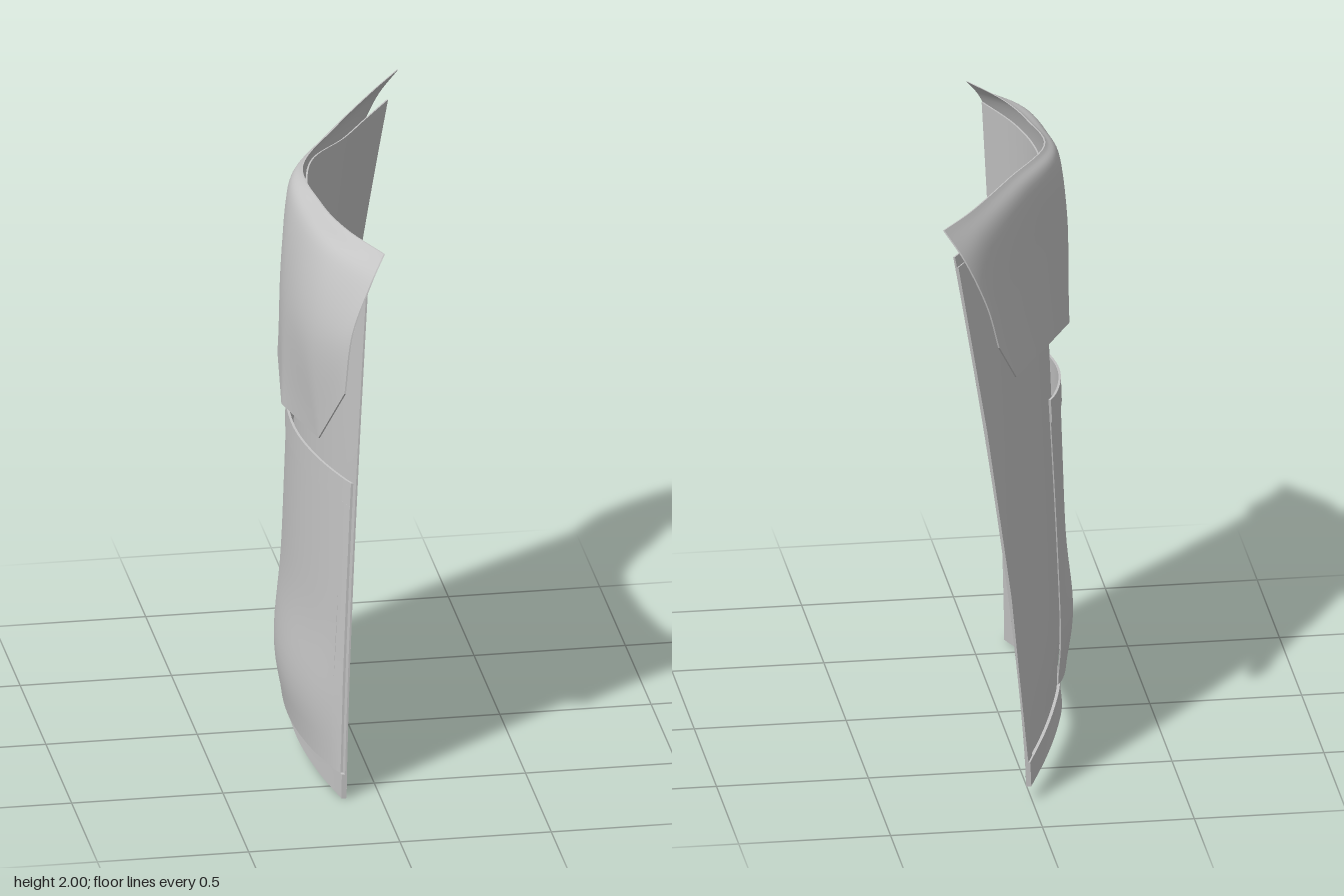
import * as THREE from 'three';
import { mergeGeometries } from 'three/addons/utils/BufferGeometryUtils.js';

const vec = p => new THREE.Vector3(...p);
const spline = (pts, tension = 0.5) => new THREE.CatmullRomCurve3(pts.map(vec), false, 'catmullrom', tension);

// smooth grid over a rule f(u, v) -> Vector3
function grid(f, nu, nv) {
  const geo = new THREE.PlaneGeometry(1, 1, nu, nv);
  const pos = geo.attributes.position;
  for (let i = 0; i < pos.count; i++) {
    const p = f(pos.getX(i) + 0.5, pos.getY(i) + 0.5);
    pos.setXYZ(i, p.x, p.y, p.z);
  }
  geo.computeVertexNormals();
  return geo;
}

// cloth panel with two faces and a rim; "inner" faces +x, "outer" faces -x
function slab(inner, outer, nu, nv) {
  const rim = edge => grid((s, t) => inner(...edge(s)).lerp(outer(...edge(s)), t), nu, 1);
  return mergeGeometries([
    grid((u, v) => inner(1 - u, v), nu, nv),
    grid(outer, nu, nv),
    rim(s => [s, 0]), rim(s => [s, 1]), rim(s => [0, s]), rim(s => [1, s]),
  ]);
}

// main panel edges, running from the back (-z) to the front (+z)
const panelTop = spline([
  [0.25, 1.9, -0.70], [0.15, 1.9, -0.55], [0.05, 1.905, -0.39], [-0.08, 1.925, -0.2],
  [-0.135, 1.925, 0], [-0.14, 1.91, 0.21], [-0.105, 1.9, 0.42], [-0.04, 1.885, 0.64]]);
const panelBottom = spline([
  [0.02, 0.05, -0.77], [-0.06, 0.06, -0.57], [-0.125, 0.07, -0.38], [-0.175, 0.08, -0.19],
  [-0.195, 0.07, 0], [-0.192, 0.045, 0.21], [-0.16, 0.02, 0.42], [-0.11, 0, 0.61]]);

// point on the panel, pushed outward (towards -x) by off
const panel = off => (u, v) => {
  const a = panelBottom.getPoint(u), b = panelTop.getPoint(u);
  const p = a.clone().lerp(b, v);
  p.x = a.x + (b.x - a.x) * Math.pow(v, 1.38) - off;
  // soft belly above the bottom hem
  p.x += 0.015 * Math.exp(-Math.pow((v - 0.04) / 0.06, 2)) * Math.sin(Math.PI * u);
  return p;
};

// thin strip lying on the panel between u0..u1, v0..v1
const strip = (off, thick, u0, u1, v0, v1, nu, nv) => {
  const face = o => (u, v) => panel(o)(u0 + (u1 - u0) * u, v0 + (v1 - v0) * v);
  return slab(face(off), face(off + thick), nu, nv);
};

// pocket cloth standing away from the panel, fullest low down
const pocket = off => (u, v) => {
  const h = 0.045 + 0.545 * v;
  const swell = 0.032 + 0.025 * Math.exp(-Math.pow((h - 0.15) / 0.1, 2));
  return panel(off + swell * Math.pow(Math.sin(Math.PI * u), 0.7))(0.43 + 0.56 * u, h);
};
const pocketPart = (off, thick, u0, u1, v0, v1, nu, nv) => {
  const face = o => (u, v) => pocket(o)(u0 + (u1 - u0) * u, v0 + (v1 - v0) * v);
  return slab(face(off), face(off + thick), nu, nv);
};

// flap: rows from the folded top edge down to the free lower edge
const flapRows = [
  [[0.28, 2, -0.71], [0.16, 1.995, -0.54], [0, 1.995, -0.28], [-0.155, 1.985, 0],
    [-0.14, 1.965, 0.27], [-0.09, 1.955, 0.48], [0, 1.945, 0.68]],
  [[0.21, 1.89, -0.737], [0.11, 1.9, -0.57], [-0.06, 1.92, -0.27], [-0.2, 1.92, 0],
    [-0.21, 1.9, 0.28], [-0.17, 1.89, 0.52], [-0.055, 1.86, 0.735]],
  [[0.14, 1.73, -0.735], [0.07, 1.66, -0.59], [-0.09, 1.68, -0.26], [-0.22, 1.68, 0.01],
    [-0.262, 1.65, 0.3], [-0.23, 1.64, 0.56], [-0.12, 1.7, 0.765]],
  [[0.1, 1.58, -0.72], [0.025, 1.42, -0.59], [-0.14, 1.38, -0.22], [-0.24, 1.345, 0.03],
    [-0.278, 1.29, 0.33], [-0.205, 1.285, 0.62], [-0.145, 1.5, 0.773]],
].map((row, i) => spline(row, i === 3 ? 0 : 0.5));
const flapPoint = off => (u, v) => {
  const p = new THREE.CatmullRomCurve3(flapRows.map(r => r.getPoint(u)), false, 'catmullrom', 0.5).getPoint(1 - v);
  p.x += off;
  return p;
};

export function createModel() {
  const group = new THREE.Group();
  const cloth = new THREE.MeshStandardMaterial({ color: 0xc4c4c4, side: THREE.DoubleSide });
  cloth.name = 'greyCloth';
  const add = (name, geo) => {
    const mesh = new THREE.Mesh(geo, cloth);
    mesh.name = name;
    group.add(mesh);
  };

  add('mainPanel', slab(panel(0), panel(0.006), 42, 30));

  // hems along the bottom and back edges of the outer side
  add('bottomHem', strip(0.005, 0.012, 0, 1, 0, 0.045, 42, 2));
  add('backHem', strip(0.005, 0.006, 0, 0.04, 0.045, 0.98, 3, 30));

  // raised outer pocket with top hem and side placket
  add('outerPocket', pocketPart(0.008, 0.004, 0, 1, 0, 1, 32, 24));
  add('pocketTopHem', pocketPart(0.011, 0.005, 0, 1, 0.92, 1, 32, 2));
  add('pocketSideHem', pocketPart(0.011, 0.005, 0.95, 1, 0, 0.92, 3, 24));

  add('flap', slab(flapPoint(0.005), flapPoint(0), 42, 24));
  return group;
}
